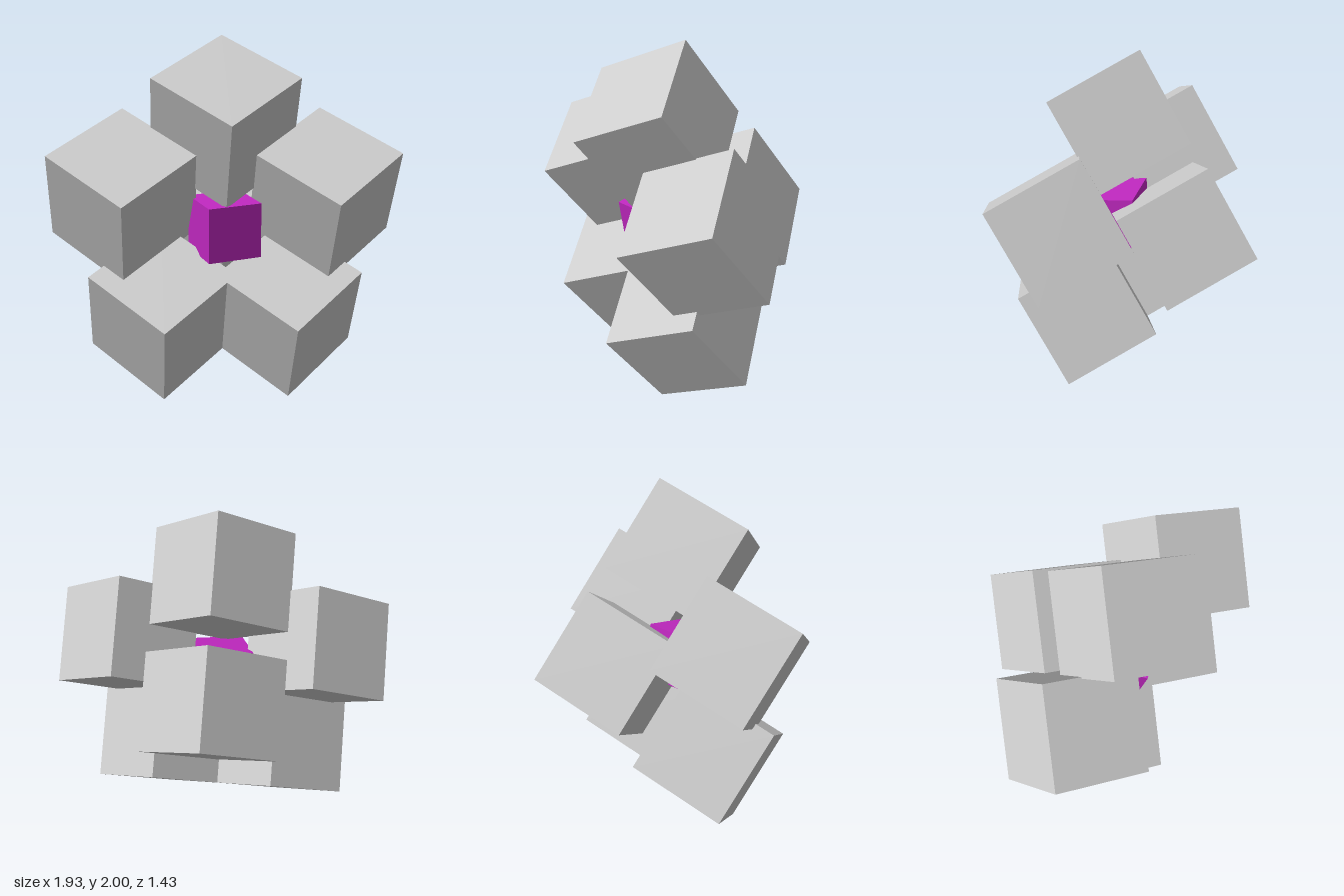
import * as THREE from 'three';

export function createModel() {
  const group = new THREE.Group();
  group.name = 'cubeCluster';

  const grey = new THREE.MeshStandardMaterial({ color: 0xcccccc, flatShading: true });
  const magenta = new THREE.MeshStandardMaterial({ color: 0xc028c0, flatShading: true });

  const edge = 0.572, ringRadius = 0.59, centreY = 0.944, ringZ = 0.219;
  const cubeGeometry = new THREE.BoxGeometry(edge, edge, edge);

  // Outer cubes stand with one body diagonal along z
  function addOuterCube(name, x, y, z) {
    const cube = new THREE.Mesh(cubeGeometry, grey);
    cube.name = name;
    cube.rotation.set(Math.atan(Math.SQRT1_2), Math.PI / 4, 0);
    cube.position.set(x, y, z);
    group.add(cube);
  }

  // Five cubes in a ring, starting at the top
  const names = ['topCube', 'upperLeftCube', 'lowerLeftCube', 'lowerRightCube', 'upperRightCube'];
  names.forEach((name, i) => {
    const a = (i * 2 * Math.PI) / 5;
    addOuterCube(name, ringRadius * Math.sin(a), centreY + ringRadius * Math.cos(a), ringZ);
  });

  // Single cube behind the ring
  addOuterCube('backCube', 0, centreY, -0.219);

  // Small tilted cube in the middle of the ring
  const core = new THREE.Mesh(new THREE.BoxGeometry(0.31, 0.31, 0.31), magenta);
  core.name = 'coreCube';
  core.rotation.set(0.13, 0.32, 0.01);
  core.position.set(0.002, centreY, ringZ);
  group.add(core);

  return group;
}
